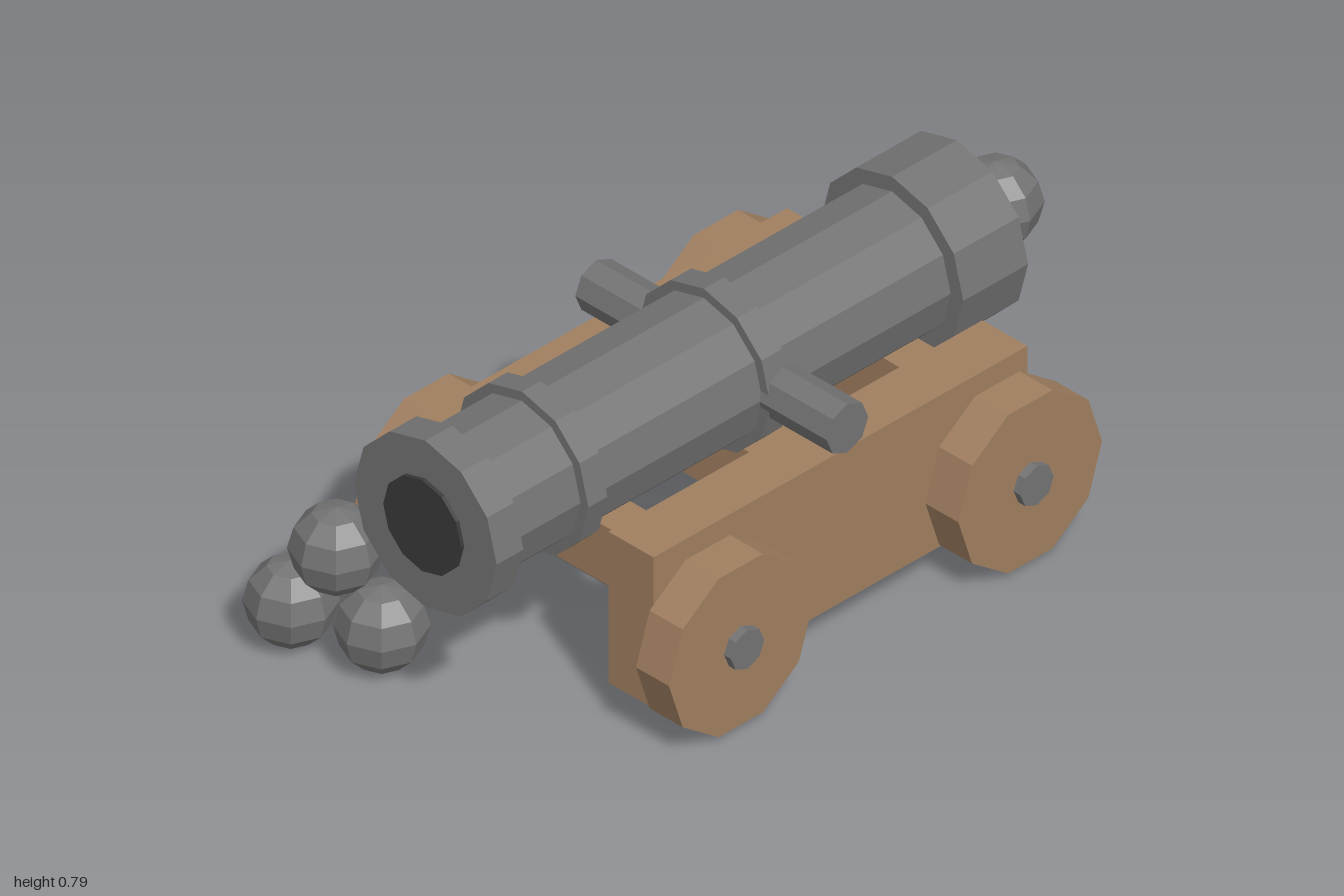
import * as THREE from 'three';

export function createModel() {
  const model = new THREE.Group();
  model.name = 'cannon';
  const make = (name, color) => {
    const m = new THREE.MeshStandardMaterial({ color, flatShading: true });
    m.name = name;
    return m;
  };
  const wood = make('wood', 0xa07f60);
  const metal = make('iron', 0x737373);
  const dark = make('bore black', 0x3a3a3a);

  const CX = 0.022; // centre line of the gun
  const BY = 0.56; // barrel height
  const AY = 0.23; // axle height

  const add = (name, geo, mat, x, y, z) => {
    const mesh = new THREE.Mesh(geo, mat);
    mesh.name = name;
    mesh.position.set(x, y, z);
    model.add(mesh);
    return mesh;
  };
  // Cylinder along z between z0 and z1
  const alongZ = (name, r, z0, z1, mat) =>
    add(name, new THREE.CylinderGeometry(r, r, z1 - z0, 12).rotateX(Math.PI / 2), mat, CX, BY, (z0 + z1) / 2);
  // Cylinder along x
  const alongX = (name, r, len, sides, mat, x, y, z) =>
    add(name, new THREE.CylinderGeometry(r, r, len, sides).rotateZ(Math.PI / 2), mat, x, y, z);
  const ball = (name, x, y, z) =>
    add(name, new THREE.SphereGeometry(0.11, 8, 6), metal, x, y, z);

  // Barrel with its reinforcing rings
  alongZ('barrel', 0.187, -0.785, 0.85, metal);
  alongZ('muzzleRing', 0.227, 0.83, 0.915, metal);
  alongZ('frontRing', 0.212, 0.55, 0.61, metal);
  alongZ('middleRing', 0.212, -0.03, 0.035, metal);
  alongZ('breechRing', 0.227, -0.765, -0.56, metal);
  alongZ('bore', 0.124, 0.87, 0.925, dark);
  ball('breechKnob', CX, BY, -0.888);
  alongX('trunnion', 0.066, 0.8, 8, metal, CX, BY, -0.022);

  // Carriage cheeks
  for (const s of [1, -1]) {
    add(s > 0 ? 'leftCheek' : 'rightCheek', new THREE.BoxGeometry(0.143, 0.412, 1.182), wood, CX + s * 0.311, 0.284, -0.017);
  }

  // Cross beams between the cheeks
  const beam = (name, z0, z1) =>
    add(name, new THREE.BoxGeometry(0.5, 0.157, z1 - z0), wood, CX, 0.3135, (z0 + z1) / 2);
  beam('frontBeam', 0.355, 0.465);
  beam('middleBeam', -0.185, 0.03);
  beam('rearBeam', -0.555, -0.445);

  // Axles and wheels
  for (const [end, z] of [['front', 0.415], ['rear', -0.5]]) {
    alongX(end + 'AxleRod', 0.036, 0.6, 8, metal, CX, 0.235, z);
    for (const s of [1, -1]) {
      const side = s > 0 ? 'Left' : 'Right';
      alongX(end + side + 'AxleEnd', 0.053, 0.2, 8, metal, CX + s * 0.422, AY, z);
      const wheel = alongX(end + side + 'Wheel', 0.227, 0.105, 10, wood, CX + s * 0.448, AY, z);
      wheel.geometry.translate(0, 0, 0);
    }
  }

  // Stacked cannonballs
  ball('cannonballOuter', -0.436, 0.112, 0.885);
  ball('cannonballInner', -0.223, 0.112, 0.81);
  ball('cannonballTop', -0.33, 0.29, 0.848);

  return model;
}
